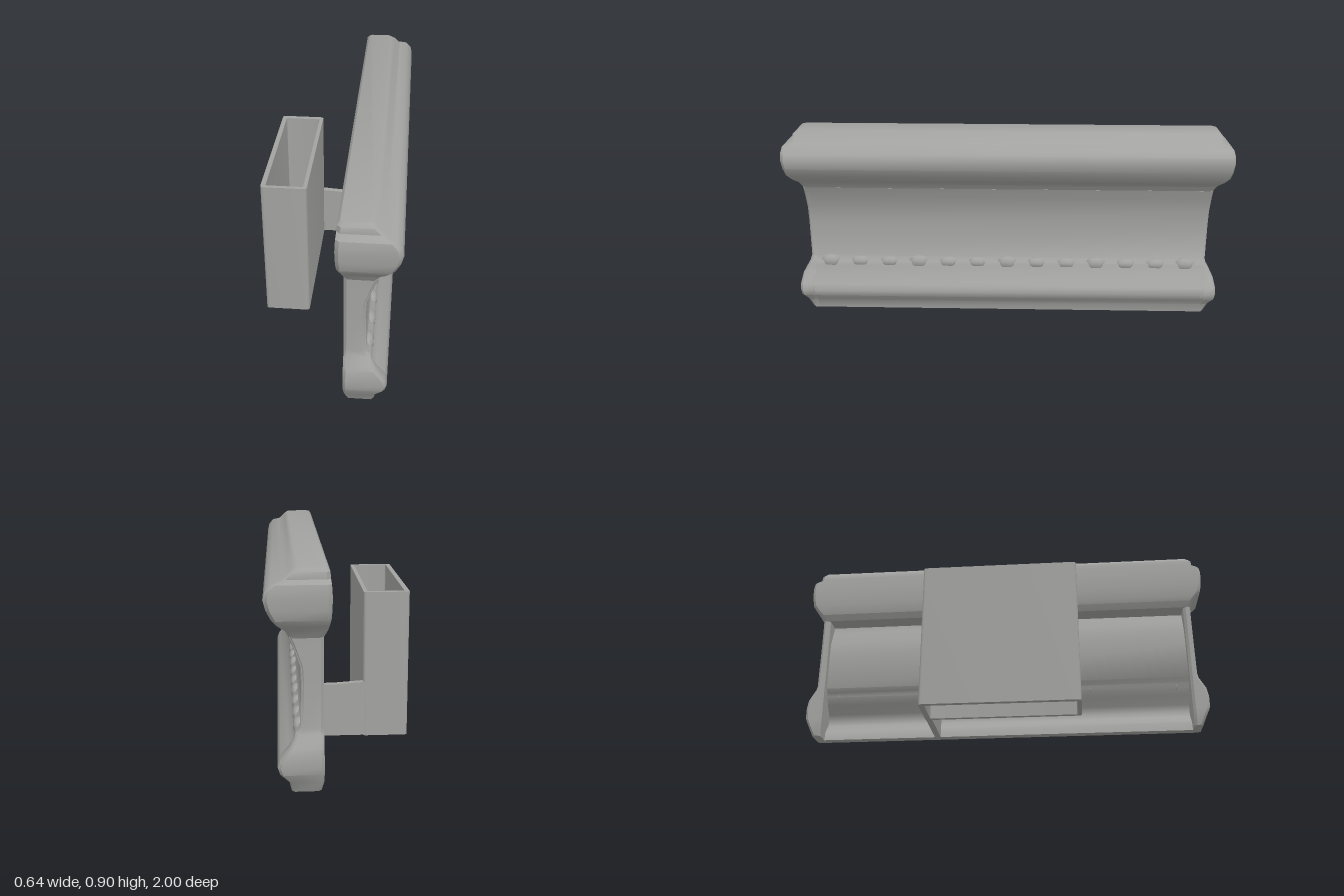
import * as THREE from 'three';
import { toCreasedNormals } from 'three/addons/utils/BufferGeometryUtils.js';

const stone = new THREE.MeshStandardMaterial({ color: 0xa2a3a0 });
stone.name = 'stone grey';

// Stack of chamfered rectangles; each row is [y, xBack, xFront, zMin, zMax, chamfer]
function loft(rows) {
  const pos = [], idx = [], n = 8;
  for (const [y, x0, x1, z0, z1, c] of rows) {
    const ring = [
      [x1, z1 - c], [x1, z0 + c], [x1 - c, z0], [x0 + c, z0],
      [x0, z0 + c], [x0, z1 - c], [x0 + c, z1], [x1 - c, z1],
    ];
    for (const [x, z] of ring) pos.push(x, y, z);
  }
  for (let i = 0; i < rows.length - 1; i++) {
    for (let j = 0; j < n; j++) {
      const a = i * n + j, b = i * n + (j + 1) % n;
      idx.push(a, b, b + n, a, b + n, a + n);
    }
  }
  const top = (rows.length - 1) * n;
  for (let j = 1; j < n - 1; j++) {
    idx.push(0, j + 1, j);
    idx.push(top, top + j, top + j + 1);
  }
  const g = new THREE.BufferGeometry();
  g.setAttribute('position', new THREE.Float32BufferAttribute(pos, 3));
  g.setIndex(idx);
  return toCreasedNormals(g, 0.75);
}

function rectPath(path, x0, x1, y0, y1, r) {
  path.moveTo(x0 + r, y0);
  path.lineTo(x1 - r, y0);
  path.quadraticCurveTo(x1, y0, x1, y0 + r);
  path.lineTo(x1, y1 - r);
  path.quadraticCurveTo(x1, y1, x1 - r, y1);
  path.lineTo(x0 + r, y1);
  path.quadraticCurveTo(x0, y1, x0, y1 - r);
  path.lineTo(x0, y0 + r);
  path.quadraticCurveTo(x0, y0, x0 + r, y0);
  return path;
}

export function createModel() {
  const group = new THREE.Group();
  const add = (geo, name) => {
    const m = new THREE.Mesh(geo, stone);
    m.name = name;
    group.add(m);
    return m;
  };

  // Heavy top rail, its moulding wrapping round both ends: [y, xBack, xFront, zEnd]
  const rail = [
    [0.63, 0.095, 0.225, 0.935], [0.66, 0.08, 0.24, 0.95], [0.685, 0.074, 0.27, 0.972],
    [0.71, 0.069, 0.29, 0.99], [0.75, 0.066, 0.31, 0.997], [0.79, 0.065, 0.32, 1],
    [0.82, 0.066, 0.312, 1], [0.845, 0.068, 0.29, 0.995], [0.858, 0.069, 0.25, 0.962],
    [0.885, 0.071, 0.225, 0.96], [0.9, 0.082, 0.205, 0.945],
  ];
  add(loft(rail.map(([y, a, b, z]) => [y, a, b, -z, z, 0.015])), 'topRail');

  // Outer profile of panel and base moulding: [y, xFront, zEnd]
  const face = [
    [0.015, 0.222, 0.94], [0.06, 0.23, 0.96], [0.1, 0.266, 0.978], [0.13, 0.275, 0.98],
    [0.16, 0.264, 0.98], [0.2, 0.23, 0.972], [0.235, 0.21, 0.952], [0.255, 0.205, 0.94],
    [0.275, 0.186, 0.936], [0.45, 0.182, 0.935], [0.52, 0.186, 0.935],
    [0.59, 0.21, 0.935], [0.635, 0.228, 0.936],
  ];

  // Thin panel, hollow behind the base moulding
  add(loft(face.map(([y, x]) => [y, x - 0.042, x, -0.93, 0.93, 0.004])), 'panel');

  // Solid end posts closing the hollow back
  for (const s of [1, -1]) {
    const rows = face.map(([y, x, z]) => {
      const back = y < 0.05 ? 0.105 : 0.095;
      return [y, back, x, s > 0 ? 0.9 : -z, s > 0 ? z : -0.9, 0.012];
    });
    add(loft(rows), s > 0 ? 'frontEndPost' : 'backEndPost');
  }

  // Scalloped beads along the top of the base moulding
  const bead = new THREE.SphereGeometry(1, 7, 5);
  for (let i = 0; i < 13; i++) {
    const m = add(bead, 'bead');
    m.position.set(0.19, 0.25, -0.84 + i * 0.14);
    m.scale.set(0.026, i % 3 ? 0.028 : 0.034, 0.055);
  }

  // Rectangular sleeve, open at top and bottom
  const outline = rectPath(new THREE.Shape(), -0.322, -0.115, -0.37, 0.34, 0.015);
  outline.holes.push(rectPath(new THREE.Path(), -0.3, -0.133, -0.352, 0.315, 0.008));
  const sleeve = new THREE.ExtrudeGeometry(outline, {
    depth: 0.677, bevelEnabled: false, curveSegments: 4,
  });
  sleeve.rotateX(-Math.PI / 2);
  add(toCreasedNormals(sleeve, 0.7), 'sleeve');

  // Bracket plate joining sleeve and panel, with a slightly sagging top edge
  const plate = new THREE.Shape();
  plate.moveTo(-0.125, 0.003);
  plate.lineTo(0.14, 0.003);
  plate.lineTo(0.16, 0.25);
  plate.lineTo(0.02, 0.25);
  plate.lineTo(-0.125, 0.26);
  plate.closePath();
  const bracket = new THREE.ExtrudeGeometry(plate, { depth: 0.028, bevelEnabled: false });
  bracket.translate(0, 0, -0.339);
  add(bracket, 'bracketPlate');

  return group;
}
